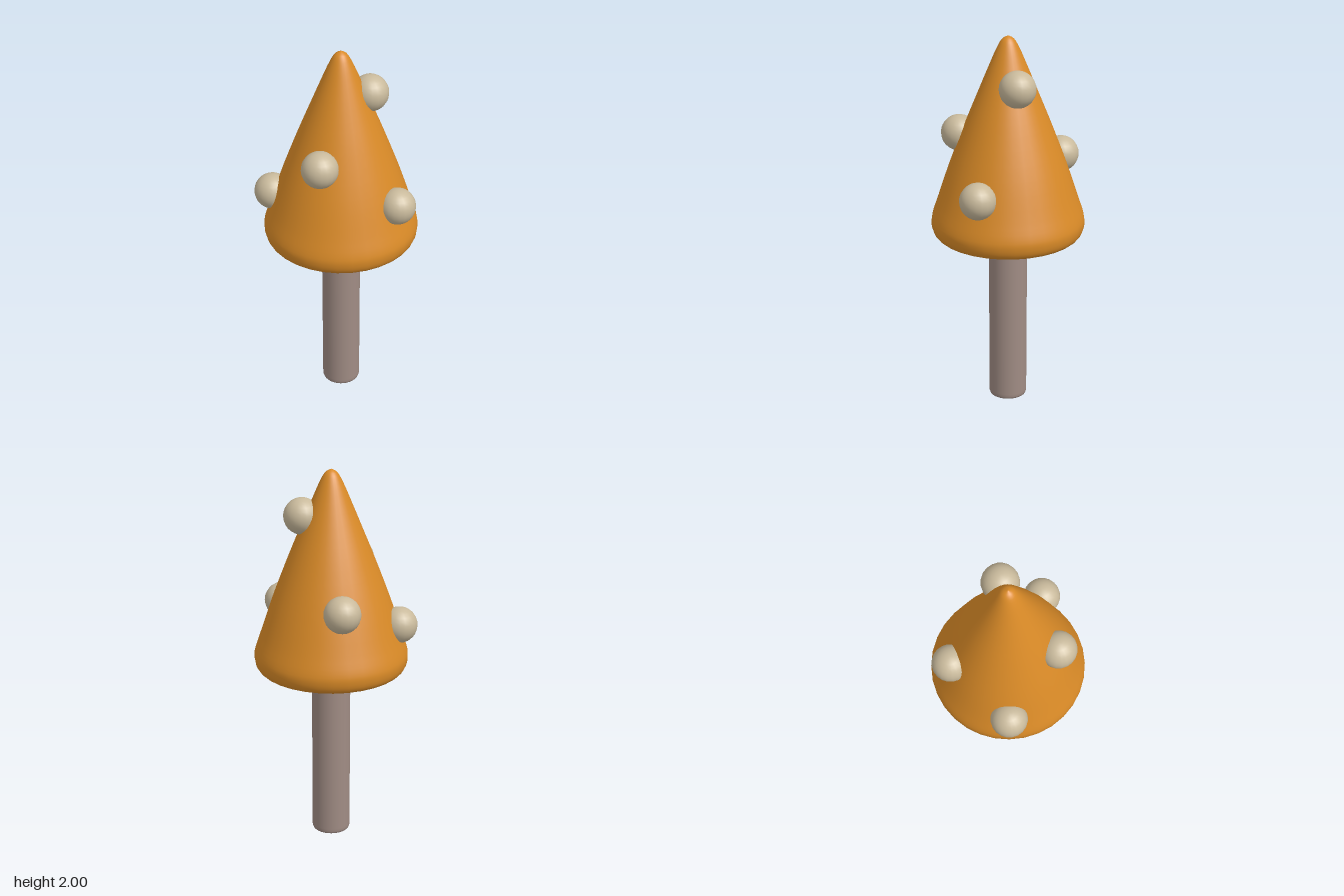
import * as THREE from 'three';

const orange = new THREE.MeshStandardMaterial({ color: 0xd98a27 });
orange.name = 'cap orange';
const cream = new THREE.MeshStandardMaterial({ color: 0xc9ba9c });
cream.name = 'spot cream';
const brown = new THREE.MeshStandardMaterial({ color: 0xa08c84 });
brown.name = 'stem brown';

const AXIS_Z = -0.015;

const vec = ([x, y]) => new THREE.Vector2(x, y);

// Surface of revolution around the mushroom's axis, profile from bottom to top
function turned(name, points, material) {
  const mesh = new THREE.Mesh(new THREE.LatheGeometry(points, 32), material);
  mesh.name = name;
  mesh.position.z = AXIS_Z;
  return mesh;
}

export function createModel() {
  const model = new THREE.Group();
  model.name = 'mushroom';

  // Stem with a slightly rounded foot
  model.add(turned('stem', [
    [0, 0], [0.09, 0], [0.09, 0], [0.097, 0.004], [0.101, 0.015], [0.101, 0.03], [0.101, 0.92],
  ].map(vec), brown));

  // Gill disc under the cap
  model.add(turned('gills', [
    [0, 0.9], [0.17, 0.9], [0.185, 0.903], [0.197, 0.912], [0.201, 0.925], [0.201, 0.95],
  ].map(vec), cream));

  // Tall pointed cap with a rolled rim
  const outline = new THREE.SplineCurve([
    [0.19, 0.93], [0.29, 0.935], [0.36, 0.945], [0.39, 0.97], [0.4, 1.015], [0.393, 1.06],
    [0.364, 1.145], [0.302, 1.33], [0.222, 1.54], [0.161, 1.69], [0.097, 1.845],
    [0.058, 1.935], [0.03, 1.983], [0, 2],
  ].map(vec)).getPoints(39);
  outline[outline.length - 1].x = 0;
  model.add(turned('cap', [vec([0, 0.93]), ...outline], orange));

  // Round spots sunk into the cap
  const spots = new THREE.Group();
  spots.name = 'spots';
  const ball = new THREE.SphereGeometry(0.094, 20, 14);
  [
    [0.08, 1.237, 0.318],
    [0.125, 1.762, 0.063],
    [-0.237, 1.475, 0.093],
    [0.13, 1.34, -0.291],
    [-0.25, 1.2, -0.265],
  ].forEach((p, i) => {
    const spot = new THREE.Mesh(ball, cream);
    spot.name = `spot${i + 1}`;
    spot.position.set(...p);
    spots.add(spot);
  });
  model.add(spots);

  return model;
}
